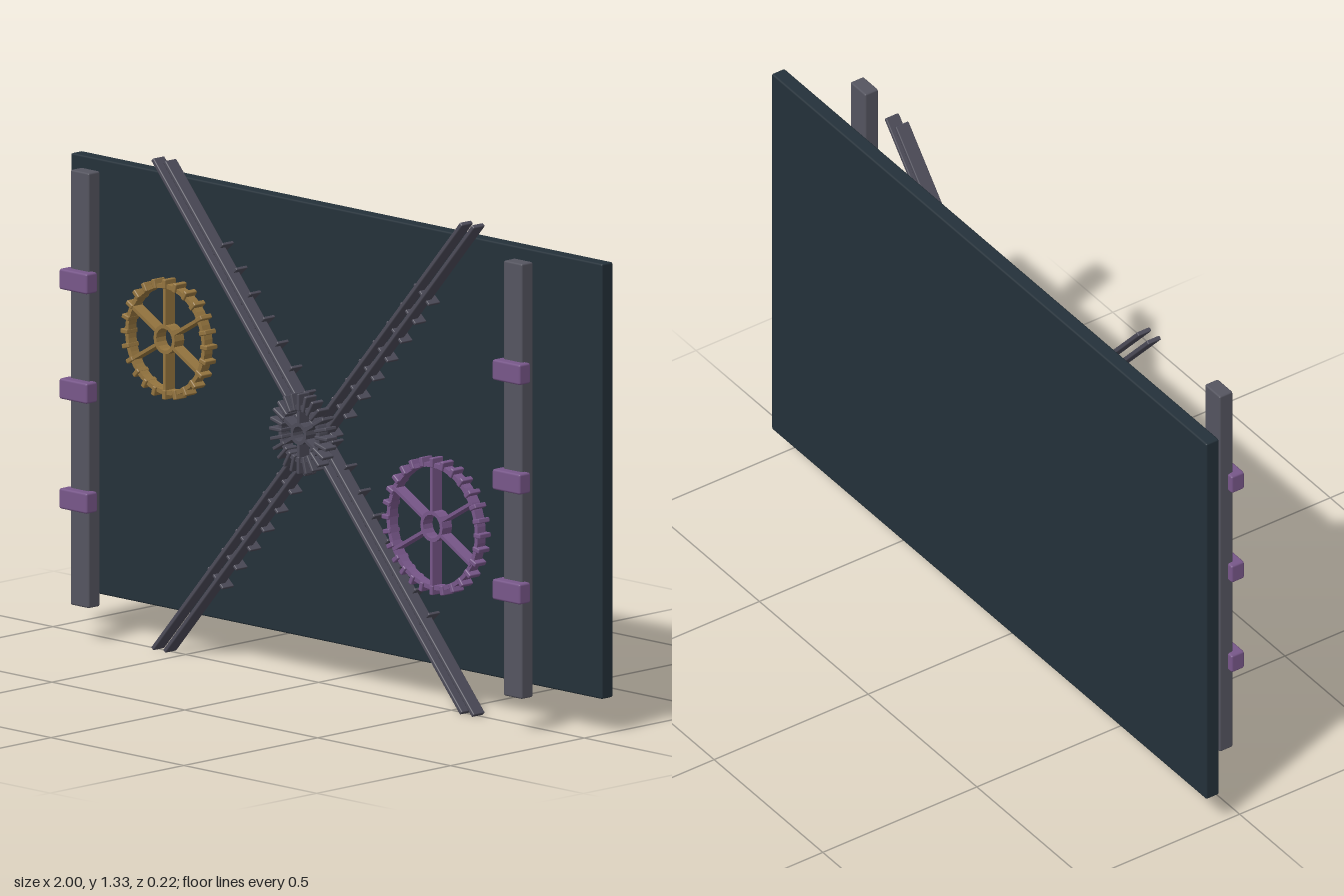
import * as THREE from 'three';
import { RoundedBoxGeometry } from 'three/addons/geometries/RoundedBoxGeometry.js';

const mat = (name, color) => {
  const m = new THREE.MeshStandardMaterial({ color });
  m.name = name;
  return m;
};

export function createModel() {
  const slate = mat('dark slate', 0x24313a);
  const steel = mat('steel grey', 0x555560);
  const iron = mat('iron grey', 0x4c4b58);
  const violet = mat('violet', 0x78578a);
  const brass = mat('brass', 0x95753f);

  const model = new THREE.Group();
  model.name = 'gearWall';

  const add = (parent, name, geometry, material, x = 0, y = 0, z = 0, turn = 0) => {
    const mesh = new THREE.Mesh(geometry, material);
    mesh.name = name;
    mesh.position.set(x, y, z);
    mesh.rotation.z = turn;
    parent.add(mesh);
    return mesh;
  };
  const bevelBox = (w, h, d, r = 0.005) => new RoundedBoxGeometry(w, h, d, 1, r);

  // Flat ring extruded along z and centred on z = 0
  const ring = (outer, inner, depth, sides) => {
    const shape = new THREE.Shape().absarc(0, 0, outer, 0, Math.PI * 2);
    shape.holes.push(new THREE.Path().absarc(0, 0, inner, 0, Math.PI * 2, true));
    const g = new THREE.ExtrudeGeometry(shape, { depth, bevelEnabled: false, curveSegments: sides });
    return g.translate(0, 0, -depth / 2);
  };

  // Back panel
  add(model, 'backPanel', bevelBox(2, 1.18, 0.042), slate, 0, 0.69, -0.087);

  // Side columns with three clamps each
  for (const side of [-1, 1]) {
    add(model, 'column', bevelBox(0.07, 1.18, 0.043), steel, side * 0.815, 0.69, 0.063);
    for (const y of [0.39, 0.688, 0.985]) {
      add(model, 'clamp', bevelBox(0.105, 0.056, 0.042, 0.006), violet, side * 0.815, y, 0.089);
    }
  }

  // Crossed toothed racks: two rails with cross bars behind
  const angle = Math.atan2(1.33, 1.165);
  const railGeo = bevelBox(1.765, 0.012, 0.042, 0.003);
  const barGeo = bevelBox(0.008, 0.075, 0.042, 0.002);
  for (const side of [-1, 1]) {
    const rack = new THREE.Group();
    rack.name = side > 0 ? 'risingRack' : 'fallingRack';
    rack.position.y = 0.672;
    for (const dx of [-0.0225, 0.0225]) add(rack, 'rail', railGeo, iron, dx, 0, 0.002, side * angle);
    for (let i = 0; i < 16; i++) {
      const t = (i - 7.5) * 0.0785;
      add(rack, 'rackTooth', barGeo, iron,
        t * Math.cos(angle) * side, t * Math.sin(angle), -0.019, side * angle);
    }
    model.add(rack);
  }

  // Gear: thin rim, radial teeth, deep narrow spokes and a hollow hub
  const makeGear = (name, x, y, material, o) => {
    const gear = new THREE.Group();
    gear.name = name;
    gear.position.set(x, y, 0.058);
    add(gear, 'rim', ring(o.rim, o.rim - 0.012, 0.03, 24), material);
    add(gear, 'hub', ring(o.hub, o.hub - 0.01, 0.036, 8), material);
    const toothLen = o.outer - o.toothIn;
    const toothGeo = bevelBox(toothLen, o.toothWidth, 0.042, 0.003);
    for (let i = 0; i < o.teeth; i++) {
      const a = (i / o.teeth) * Math.PI * 2;
      const r = o.toothIn + toothLen / 2;
      add(gear, 'tooth', toothGeo, material, Math.cos(a) * r, Math.sin(a) * r, 0, a);
    }
    const spokeLen = o.rim - o.hub;
    const spokeGeo = new THREE.BoxGeometry(spokeLen, 0.009, 0.036);
    for (let i = 0; i < 6; i++) {
      const a = Math.PI / 6 + (i * Math.PI) / 3;
      const r = o.hub + spokeLen / 2 - 0.004;
      add(gear, 'spoke', spokeGeo, material, Math.cos(a) * r, Math.sin(a) * r, 0, a);
    }
    model.add(gear);
  };

  makeGear('brassGear', -0.505, 0.87, brass,
    { outer: 0.163, toothIn: 0.137, toothWidth: 0.013, rim: 0.15, hub: 0.04, teeth: 24 });
  makeGear('violetGear', 0.501, 0.515, violet,
    { outer: 0.186, toothIn: 0.16, toothWidth: 0.013, rim: 0.172, hub: 0.042, teeth: 28 });
  makeGear('centrePinion', 0, 0.69, iron,
    { outer: 0.109, toothIn: 0.062, toothWidth: 0.01, rim: 0.078, hub: 0.03, teeth: 24 });

  return model;
}
